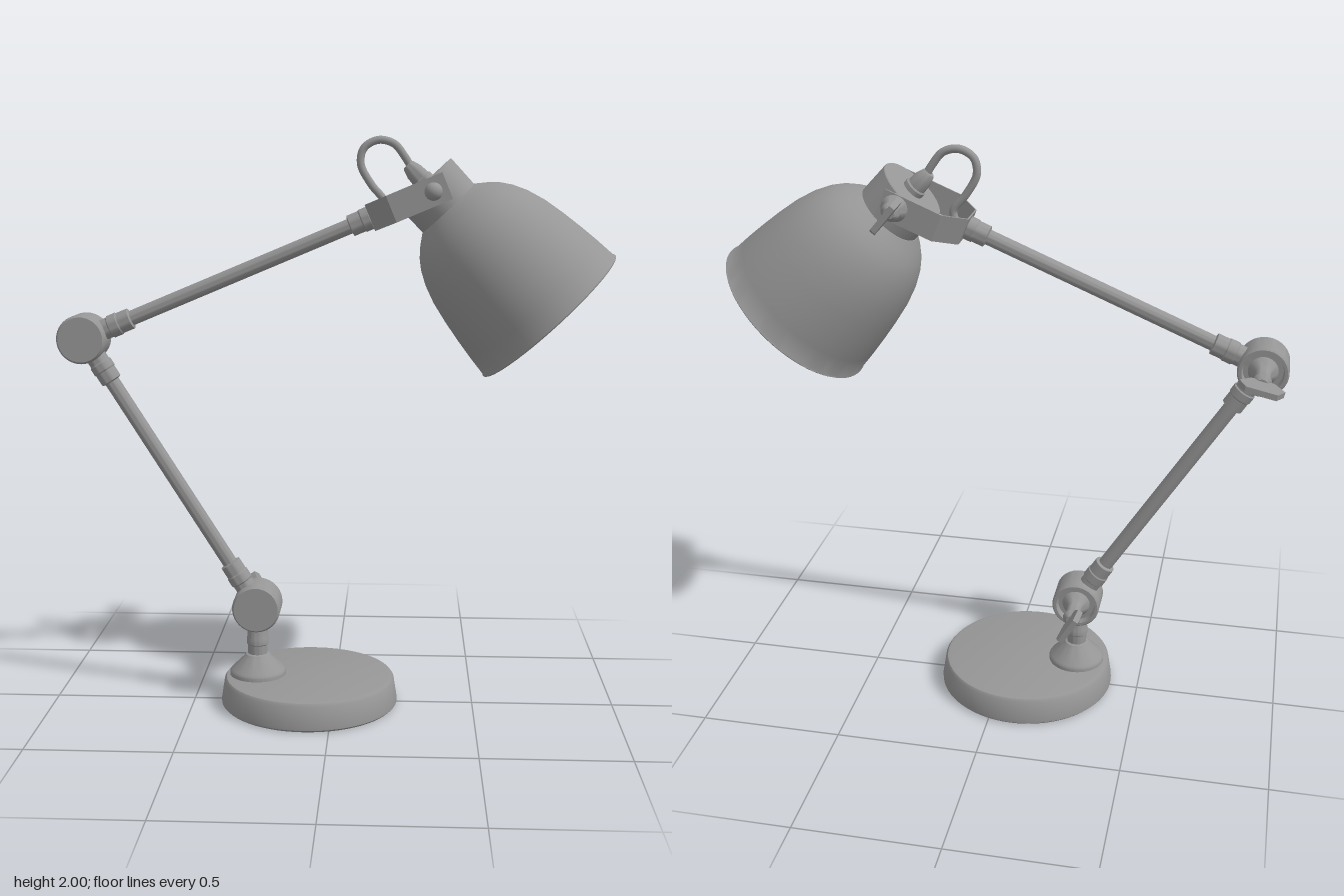
import * as THREE from 'three';
import { toCreasedNormals } from 'three/addons/utils/BufferGeometryUtils.js';

const material = new THREE.MeshStandardMaterial({ color: 0x969696, side: THREE.DoubleSide });

function mesh(name, geometry, parent) {
  const m = new THREE.Mesh(geometry, material);
  m.name = name;
  parent.add(m);
  return m;
}

// Turned part from [radius, height] pairs, running upwards on the outside
function turned(points, sides = 40, crease = 0.6) {
  const profile = points.map(([r, y]) => new THREE.Vector2(r, y));
  return toCreasedNormals(new THREE.LatheGeometry(profile, sides), crease);
}

function groupAt(name, parent, x, y, rotation = 0) {
  const g = new THREE.Group();
  g.name = name;
  g.position.set(x, y, 0);
  g.rotation.z = rotation;
  parent.add(g);
  return g;
}

// Wing screw pointing to the back: flared stem and flat six-sided grip
function addWingScrew(parent, zStart, zGrip, angle) {
  mesh('screwStem', turned([
    [0, zGrip - 0.012], [0.018, zGrip - 0.012], [0.032, zGrip + 0.006], [0.027, zGrip + 0.025],
    [0.027, zStart - 0.025], [0.036, zStart - 0.01], [0.05, zStart + 0.01], [0, zStart + 0.01],
  ], 24).rotateX(Math.PI / 2), parent);
  const outline = [[-0.038, 0], [0.038, 0], [0.075, 0.045], [0.052, 0.088], [-0.052, 0.088], [-0.075, 0.045]];
  const shape = new THREE.Shape(outline.map(([x, y]) => new THREE.Vector2(x, y)));
  const grip = new THREE.ExtrudeGeometry(shape, { depth: 0.02, bevelEnabled: false });
  grip.translate(0, 0, -0.01).rotateX(-Math.PI / 2);
  const wing = mesh('screwGrip', grip, parent);
  wing.position.z = zGrip;
  wing.rotation.z = angle;
}

// Round joint drum lying along z, hollowed around the screw at the back
function addJoint(name, parent, x, y, wingAngle) {
  const joint = groupAt(name, parent, x, y);
  mesh('drum', turned([
    [0, -0.035], [0.066, -0.035], [0.07, -0.06], [0.08, -0.06], [0.085, -0.054],
    [0.085, 0.055], [0.081, 0.06], [0.078, 0.066], [0, 0.066],
  ]).rotateX(Math.PI / 2), joint);
  addWingScrew(joint, -0.05, -0.147, wingAngle);
}

// Rod with stepped collars at both ends, running along local y
function addRod(parent, start, end, endCollar) {
  mesh('rod', turned([
    [0, 0.05], [0.036, 0.05], [0.036, 0.1], [0.04, 0.104], [0.04, 0.135], [0.037, 0.139],
    [0.037, start], [0.026, start + 0.004],
    [0.026, endCollar - 0.004], [0.037, endCollar], [0.037, endCollar + 0.04],
    [0.04, endCollar + 0.044], [0.04, endCollar + 0.07], [0.036, endCollar + 0.074],
    [0.036, end], [0, end],
  ], 28), parent);
}

// Thin U-shaped fork holding the lampshade, around its pivot at y = 0
function forkGeometry() {
  const outer = [[0.06, -0.228], [0.137, -0.15], [0.137, 0.05]];
  const inner = [[0.132, 0.05], [0.132, -0.148], [0.058, -0.223]];
  const right = [...outer, ...inner];
  const left = right.map(([z, y]) => [-z, y]).reverse();
  const shape = new THREE.Shape([...right, ...left].map(([z, y]) => new THREE.Vector2(z, y)));
  const geo = new THREE.ExtrudeGeometry(shape, { depth: 0.094, bevelEnabled: false });
  return geo.translate(0, 0, -0.047).rotateY(Math.PI / 2);
}

export function createModel() {
  const lamp = new THREE.Group();
  lamp.name = 'deskLamp';
  const shoulder = [-0.27, 0.355], elbow = [-0.868, 1.31], pivot = [0.338, 1.814];

  // Weighted base
  mesh('base', turned([
    [0, 0], [0.308, 0], [0.315, 0.007], [0.315, 0.018], [0.304, 0.088], [0.297, 0.097], [0.285, 0.1], [0, 0.1],
  ], 64), lamp).position.x = -0.085;

  // Everything above the base sits slightly forward
  const stand = groupAt('stand', lamp, 0, 0);
  stand.position.z = 0.005;

  // Foot and short post
  mesh('foot', turned([
    [0, 0.095], [0.1, 0.095], [0.1, 0.113], [0.094, 0.122], [0.05, 0.165], [0.043, 0.175], [0.035, 0.178],
    [0.035, 0.21], [0.039, 0.214], [0.039, 0.235], [0.037, 0.24], [0.037, 0.3], [0, 0.3],
  ]), stand).position.x = shoulder[0];

  addJoint('lowerJoint', stand, ...shoulder, Math.PI * 0.67);
  addJoint('elbowJoint', stand, ...elbow, 0.22);

  // Arms
  const aim = (a, b) => Math.atan2(a[0] - b[0], b[1] - a[1]);
  const span = (a, b) => Math.hypot(b[0] - a[0], b[1] - a[1]);
  const lowerLength = span(shoulder, elbow), upperLength = span(elbow, pivot);
  const lowerArm = groupAt('lowerArm', stand, ...shoulder, aim(shoulder, elbow));
  addRod(lowerArm, 0.18, lowerLength - 0.05, lowerLength - 0.175);
  const upperArm = groupAt('upperArm', stand, ...elbow, aim(elbow, pivot));
  addRod(upperArm, 0.18, upperLength - 0.22, upperLength - 0.3);
  mesh('fork', forkGeometry(), upperArm).position.y = upperLength;

  // Pivot bolt with rounded ends and its wing screw
  const bolt = groupAt('pivotBolt', stand, ...pivot);
  mesh('boltShaft', new THREE.CylinderGeometry(0.02, 0.02, 0.3, 20).rotateX(Math.PI / 2), bolt);
  for (const side of [-1, 1]) {
    const cap = mesh('boltCap', new THREE.SphereGeometry(0.03, 20, 14), bolt);
    cap.position.z = side * 0.147;
  }
  addWingScrew(bolt, -0.14, -0.187, Math.PI * 0.72);

  // Lampshade: smooth bell outside, faceted lining inside, cylindrical cap
  const head = groupAt('head', stand, ...pivot, 0.761);
  const bell = [[0.298, -0.572], [0.291, -0.5], [0.282, -0.43], [0.27, -0.354], [0.255, -0.28], [0.234, -0.216],
    [0.21, -0.168], [0.186, -0.135], [0.155, -0.105], [0.12, -0.078]];
  const lining = bell.map(([r, y]) => [r - 0.004, y - 0.006]).reverse();
  mesh('shade', turned([[0.294, -0.578], [0.298, -0.582], [0.302, -0.578], ...bell, [0, -0.078]], 64), head);
  mesh('shadeLining', turned([[0, -0.084], ...lining], 32, 0.01), head);
  mesh('shadeCap', turned([[0, -0.08], [0.118, -0.08], [0.12, 0.036], [0.118, 0.039], [0, 0.039]], 48), head);
  mesh('cordGrip', turned([
    [0, 0.03], [0.038, 0.03], [0.038, 0.055], [0.033, 0.06], [0.031, 0.09], [0.022, 0.118], [0.018, 0.123], [0, 0.123],
  ], 24), head);

  // Cord looping from the grip back to the arm
  const path = [[0.27, 1.885], [0.243, 1.93], [0.206, 1.973], [0.153, 1.985], [0.105, 1.958],
    [0.095, 1.905], [0.13, 1.838], [0.175, 1.78], [0.168, 1.745]];
  const curve = new THREE.CatmullRomCurve3(path.map(([x, y]) => new THREE.Vector3(x, y, 0)));
  mesh('cord', new THREE.TubeGeometry(curve, 60, 0.0135, 14), stand);

  return lamp;
}
